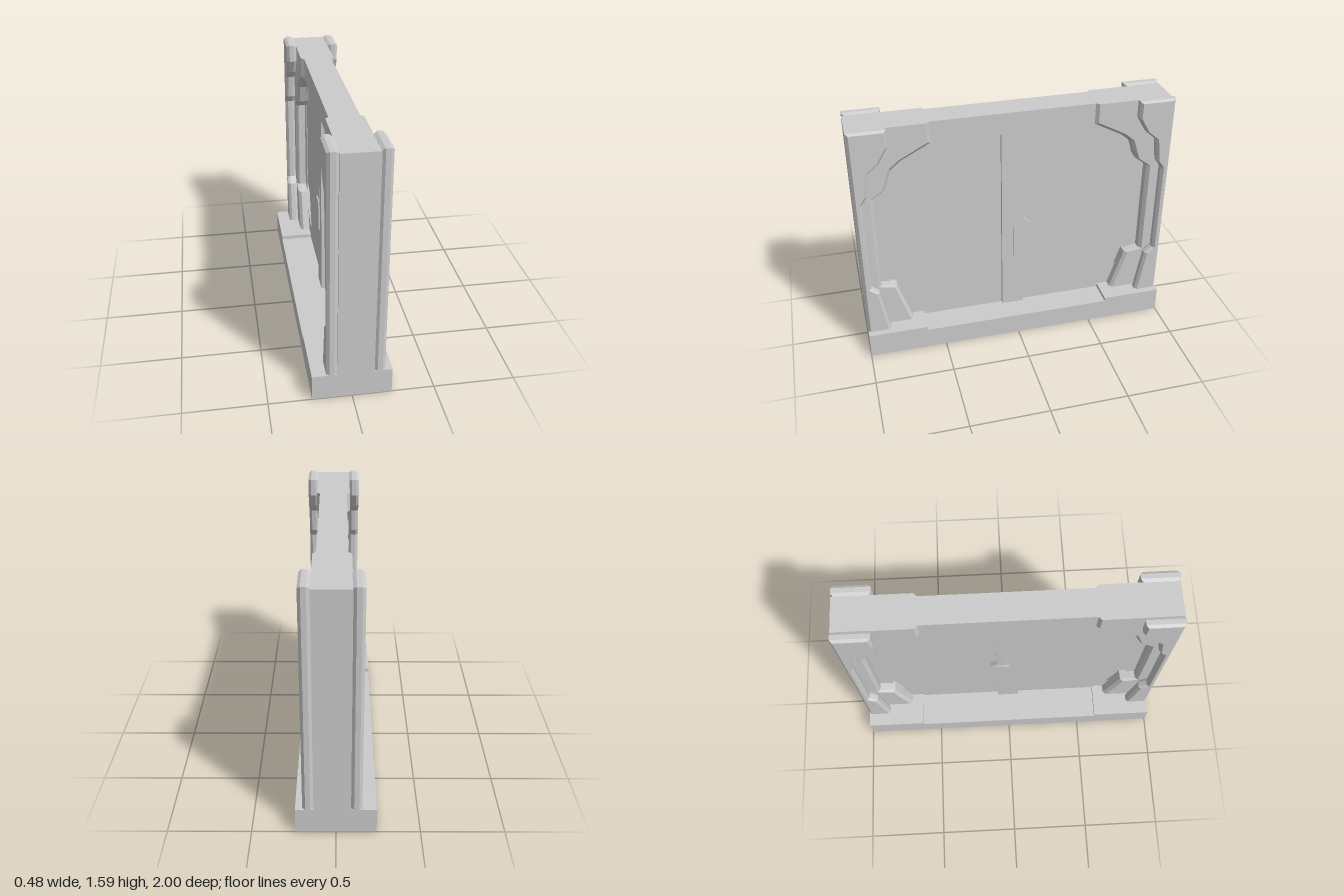
import * as THREE from 'three';

const grey = new THREE.MeshStandardMaterial({ color: 0xcccccc, flatShading: true });

function add(parent, name, geometry) {
  const mesh = new THREE.Mesh(geometry, grey);
  mesh.name = name;
  parent.add(mesh);
  return mesh;
}

function box(parent, name, sx, sy, sz, x, y, z) {
  add(parent, name, new THREE.BoxGeometry(sx, sy, sz)).position.set(x, y, z);
}

// Joins outlines of [z, y] points, placed at ascending x, into a closed solid.
function loft(outlines, xs, sign) {
  const rings = outlines.map(o => o.map(([z, y]) => new THREE.Vector2(-z * sign, y)));
  if (THREE.ShapeUtils.isClockWise(rings[0])) rings.forEach(r => r.reverse());
  const out = [];
  const put = (k, i) => out.push(xs[k], rings[k][i].y, -rings[k][i].x);
  const n = rings[0].length, last = rings.length - 1;
  for (let k = 0; k < last; k++) {
    for (let i = 0; i < n; i++) {
      const j = (i + 1) % n;
      put(k, i); put(k, j); put(k + 1, j);
      put(k, i); put(k + 1, j); put(k + 1, i);
    }
  }
  for (const [a, b, c] of THREE.ShapeUtils.triangulateShape(rings[last], [])) {
    put(last, a); put(last, b); put(last, c);
  }
  for (const [a, b, c] of THREE.ShapeUtils.triangulateShape(rings[0], [])) {
    put(0, a); put(0, c); put(0, b);
  }
  const g = new THREE.BufferGeometry();
  g.setAttribute('position', new THREE.Float32BufferAttribute(out, 3));
  g.computeVertexNormals();
  return g;
}

// Flat plate in the z-y plane, centred on x.
const toPoints = pts => pts.map(([z, y]) => new THREE.Vector2(-z, y));
function plate(outline, holes, thickness) {
  const shape = new THREE.Shape(toPoints(outline));
  holes.forEach(h => shape.holes.push(new THREE.Path(toPoints(h))));
  const g = new THREE.ExtrudeGeometry(shape, { depth: thickness, bevelEnabled: false });
  g.translate(0, 0, -thickness / 2);
  g.rotateY(Math.PI / 2);
  return g;
}

const rect = (z0, z1, y0, y1) => [[z0, y0], [z1, y0], [z1, y1], [z0, y1]];
const octagon = (z0, z1, y0, y1, cz, cy) => [
  [z0 + cz, y0], [z1 - cz, y0], [z1, y0 + cy], [z1, y1 - cy],
  [z1 - cz, y1], [z0 + cz, y1], [z0, y1 - cy], [z0, y0 + cy],
];

export function createModel() {
  const root = new THREE.Group();
  root.name = 'slidingDoor';

  // Plinth with raised ends
  box(root, 'base', 0.48, 0.14, 2, 0, 0.07, 0);
  for (const s of [1, -1]) box(root, 'baseEnd', 0.48, 0.165, 0.385, 0, 0.0825, s * 0.8075);

  const frame = new THREE.Group();
  frame.name = 'doorway';
  frame.position.x = 0.022;
  root.add(frame);

  // Lintel, thinner than the posts
  box(frame, 'lintel', 0.18, 0.135, 1.2, 0, 1.5125, 0);

  // Inner edge of each post, from top to bottom
  const postEdge = [[0.53, 1.58], [0.53, 1.455], [0.71, 1.36], [0.775, 1.305], [0.82, 1.17],
    [0.9, 1.11], [0.9, 0.465], [0.80, 0.445], [0.71, 0.165], [0.70, 0.1]];
  const postFace = [[1, 0.1], [1, 1.58], ...postEdge];
  const postCore = [[1, 0.1], [1, 1.58],
    ...postEdge.map(([z, y]) => [z - 0.02, y > 1.2 && y < 1.5 ? y - 0.01 : y])];

  // Inner edge of the raised trim on each post face
  const trimEdge = [[0.77, 1.48], [0.825, 1.385], [0.895, 1.325], [0.915, 1.17],
    [0.95, 1.12], [0.95, 0.5], [0.90, 0.46], [0.85, 0.165], [0.84, 0.1]];
  const trimOutline = inset => [[1 - inset, 0.1], [1 - inset, 1.592 - inset * 0.7],
    [0.77 + inset, 1.592 - inset * 0.7], ...trimEdge.map(([z, y]) => [z + inset, y])];
  const narrow = trimOutline(0.016), wide = trimOutline(0);

  for (const s of [1, -1]) {
    add(frame, 'post', loft([postFace, postCore, postCore, postFace],
      [-0.11, -0.09, 0.09, 0.11], s));
    for (const xs of [[0.108, 0.128, 0.158, 0.176], [-0.176, -0.158, -0.128, -0.108]]) {
      add(frame, 'postTrim', loft([narrow, wide, wide, narrow], xs, s));
    }
  }

  // Door leaves with recessed octagonal panels
  add(frame, 'doorLeaves', plate(rect(-0.93, 0.93, 0.1, 1.47), [
    octagon(0.25, 0.825, 0.25, 1.335, 0.145, 0.12),
    octagon(-0.79, -0.22, 0.25, 1.335, 0.145, 0.12),
  ], 0.086));
  box(frame, 'recessedPanels', 0.054, 1.3, 1.84, 0, 0.79, 0);

  // Centre strip and latch
  box(frame, 'centreStrip', 0.132, 1.35, 0.145, 0, 0.785, 0.0025);
  add(frame, 'latch', plate([[0, 0.46], [0, 0.86], [-0.03, 0.86], [-0.112, 0.77],
    [-0.112, 0.58], [-0.03, 0.48]], [], 0.136));

  // Raised handle surround on the back
  add(frame, 'handleSurround', plate(rect(-0.075, 0.01, 0.57, 0.78),
    [rect(-0.06, -0.005, 0.59, 0.76)], 0.012)).position.x = -0.07;

  return root;
}
